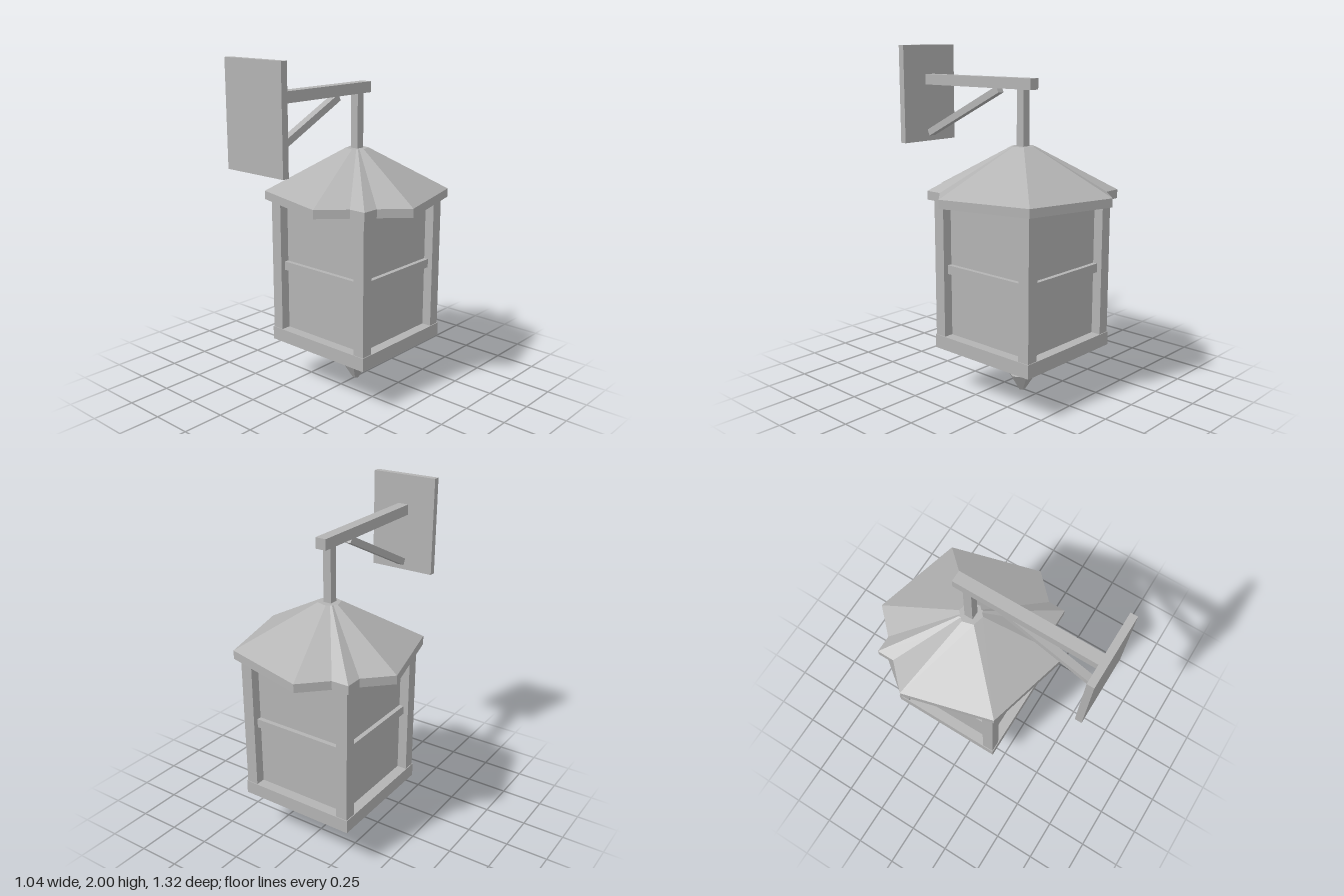
import * as THREE from 'three';

export function createModel() {
  const model = new THREE.Group();
  model.name = 'wallLantern';
  const metal = new THREE.MeshStandardMaterial({ color: 0xb3b3b3 });
  metal.name = 'greyMetal';
  metal.flatShading = true;

  const add = (parent, name, geometry, x = 0, y = 0, z = 0) => {
    const mesh = new THREE.Mesh(geometry, metal);
    mesh.name = name;
    mesh.position.set(x, y, z);
    parent.add(mesh);
    return mesh;
  };
  const box = (parent, name, w, h, d, x, y, z) =>
    add(parent, name, new THREE.BoxGeometry(w, h, d), x, y, z);
  // Faceted frustum between two heights, turned by an angle in degrees
  const frustum = (parent, name, rTop, rBottom, y0, y1, sides, turn) =>
    add(parent, name, new THREE.CylinderGeometry(rTop, rBottom, y1 - y0, sides, 1, false,
      THREE.MathUtils.degToRad(turn)), 0, (y0 + y1) / 2, 0);

  // Wall bracket: plate, arm and diagonal strut
  const bracket = new THREE.Group();
  bracket.name = 'bracket';
  model.add(bracket);
  box(bracket, 'wallPlate', 0.41, 0.58, 0.04, 0, 1.71, 0.64);
  box(bracket, 'arm', 0.066, 0.062, 0.84, 0, 1.795, 0.2);
  const strut = box(bracket, 'strut', 0.045, 0.04, 0.645, 0, 1.614, 0.325);
  strut.rotation.x = Math.atan2(0.285, 0.575);

  // Hanging lantern, around its own vertical axis
  const lantern = new THREE.Group();
  lantern.name = 'lantern';
  lantern.position.z = -0.14;
  model.add(lantern);
  box(lantern, 'hangingRod', 0.05, 0.36, 0.05, 0, 1.6, 0);

  // Roof: a six-sided and a four-sided cap crossing each other
  for (const [sides, turn] of [[6, 15], [4, 45]]) {
    frustum(lantern, 'roofSlope', 0.067, 0.538, 1.2, 1.45, sides, turn);
    frustum(lantern, 'roofRim', 0.538, 0.538, 1.15, 1.2, sides, turn);
  }

  // Body: base, recessed panes, corner posts and crossbars
  box(lantern, 'base', 0.715, 0.08, 0.715, 0, 0.31, 0);
  box(lantern, 'panes', 0.59, 0.8, 0.59, 0, 0.75, 0);
  box(lantern, 'crossbars', 0.645, 0.052, 0.645, 0, 0.747, 0);
  for (const x of [-1, 1]) {
    for (const z of [-1, 1]) {
      box(lantern, 'cornerPost', 0.07, 0.8, 0.07, x * 0.318, 0.75, z * 0.318);
    }
  }

  // Finial under the base: [y, radius] from top to bottom
  const finial = [[0.27, 0.14], [0.18, 0.05], [0.1, 0.082], [0, 0.02]];
  for (let i = 0; i < finial.length - 1; i++) {
    const [y1, r1] = finial[i], [y0, r0] = finial[i + 1];
    frustum(lantern, 'finial', r1, r0, y0, y1, 6, 30);
  }
  return model;
}
